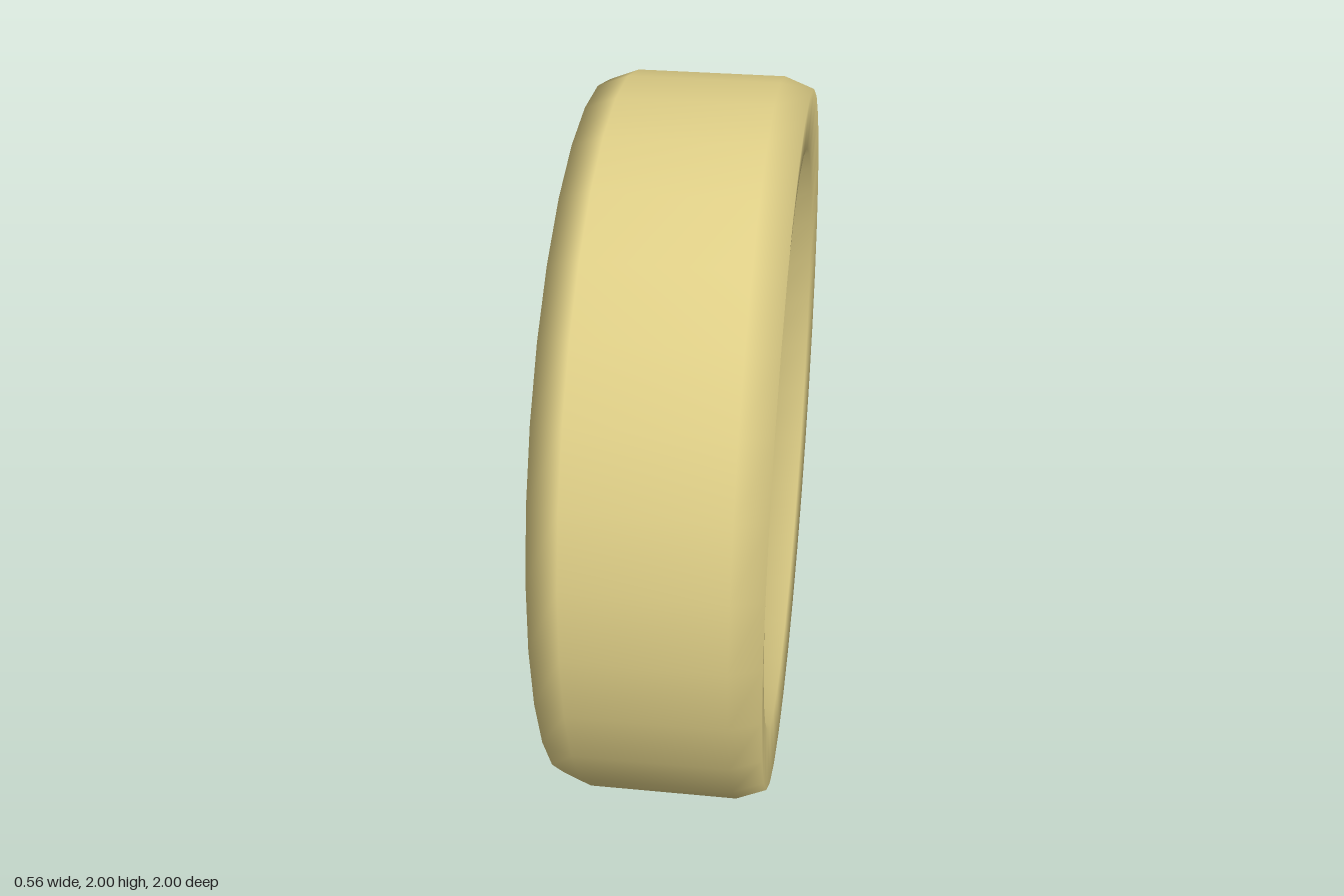
import * as THREE from 'three';

const SIDES = 32;
const DISH_RADIUS = 0.705;
const DISH_X = 0.13;

export function createModel() {
  const group = new THREE.Group();
  group.name = 'wheel';

  const yellow = new THREE.MeshStandardMaterial({ color: 0xdfcf87 });
  yellow.name = 'pale yellow';
  const dark = new THREE.MeshStandardMaterial({ color: 0x302426 });
  dark.name = 'dark brown';

  // Half profile (radius, offset along the axle), from the dish centre out to the tread
  const half = [[0, DISH_X], [DISH_RADIUS, DISH_X], [0.81, 0.27], [0.97, 0.28], [1, 0.2]];
  const profile = [
    ...half.map(([r, a]) => new THREE.Vector2(r, -a)),
    ...half.slice().reverse().map(([r, a]) => new THREE.Vector2(r, a)),
  ];
  const bodyGeometry = new THREE.LatheGeometry(profile, SIDES);
  bodyGeometry.rotateZ(-Math.PI / 2);
  const body = new THREE.Mesh(bodyGeometry, yellow);
  body.name = 'dishedDisc';
  body.position.y = 1;
  group.add(body);

  // Dark segment of the dish floor, cut off by a tilted straight edge
  const outline = [new THREE.Vector2(-0.674, -0.21)];
  for (let k = 18; k <= 29; k++) {
    const angle = (k / SIDES) * Math.PI * 2;
    outline.push(new THREE.Vector2(Math.cos(angle), Math.sin(angle)).multiplyScalar(DISH_RADIUS));
  }
  outline.push(new THREE.Vector2(0.615, -0.34));
  const mouthGeometry = new THREE.ShapeGeometry(new THREE.Shape(outline));
  mouthGeometry.rotateY(Math.PI / 2);
  const mouth = new THREE.Mesh(mouthGeometry, dark);
  mouth.name = 'mouth';
  mouth.position.set(DISH_X + 0.004, 1, 0);
  group.add(mouth);

  return group;
}
